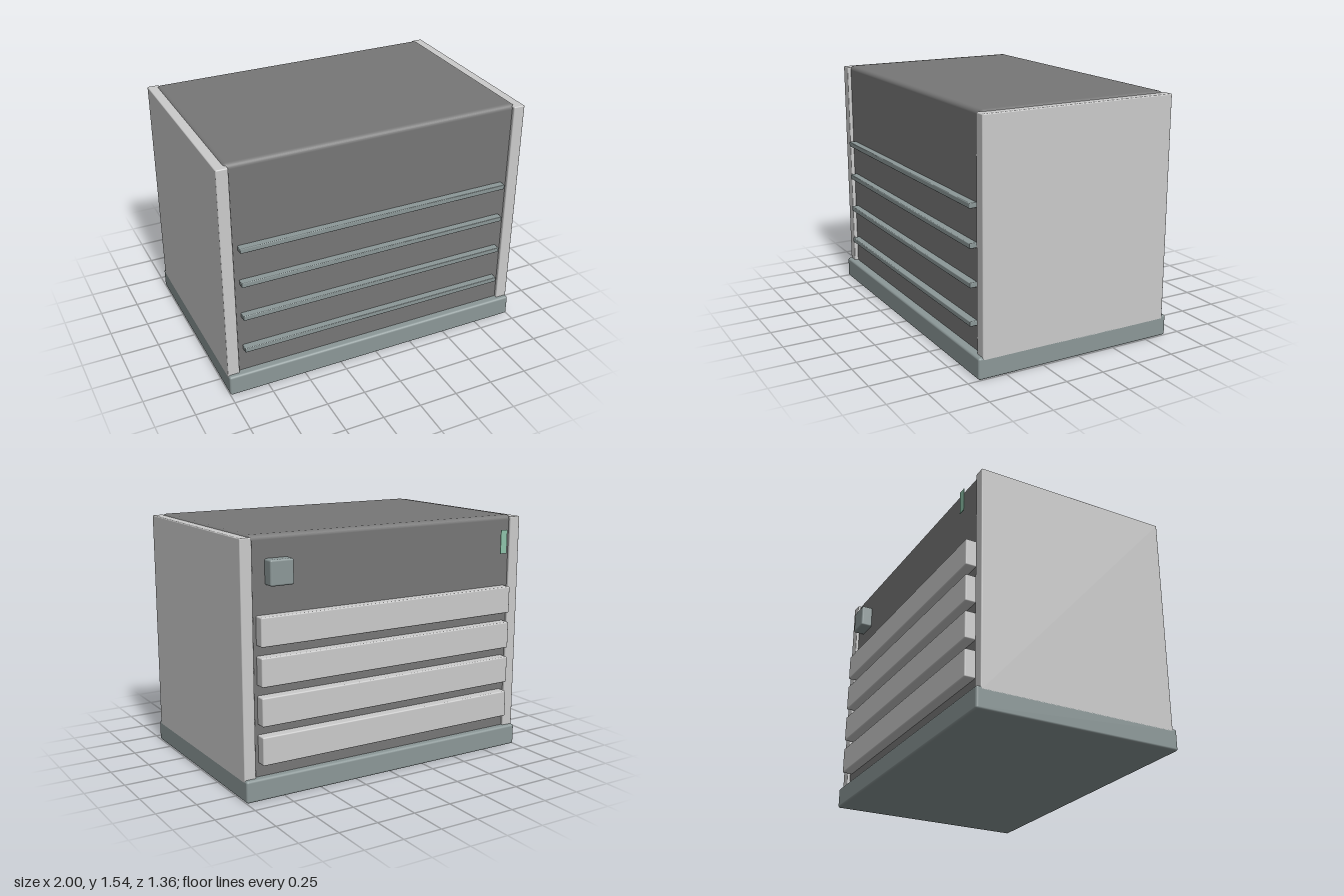
import * as THREE from 'three';
import { RoundedBoxGeometry } from 'three/addons/geometries/RoundedBoxGeometry.js';

const paint = (color) => new THREE.MeshStandardMaterial({ color });

// Rounded box given by its [min, max] range on each axis
function block(name, [x0, x1], [y0, y1], [z0, z1], radius, material) {
  const geometry = new RoundedBoxGeometry(x1 - x0, y1 - y0, z1 - z0, 3, radius);
  const mesh = new THREE.Mesh(geometry, material);
  mesh.position.set((x0 + x1) / 2, (y0 + y1) / 2, (z0 + z1) / 2);
  mesh.name = name;
  return mesh;
}

export function createModel() {
  const model = new THREE.Group();
  model.name = 'cabinet';
  const light = paint(0xcccccc);
  const dark = paint(0x777777);
  const trim = paint(0x8c9898);
  const green = paint(0x8fc4ab);

  // Plinth and main casing
  model.add(block('base', [-1, 1], [0, 0.135], [-0.65, 0.68], 0.014, trim));
  model.add(block('body', [-0.95, 0.95], [0.06, 1.545], [-0.605, 0.63], 0.03, dark));

  // Side panels, standing slightly proud of the casing front and back
  for (const side of [-1, 1]) {
    const xs = side > 0 ? [0.925, 1] : [-1, -0.925];
    model.add(block(side > 0 ? 'leftPanel' : 'rightPanel', xs, [0.11, 1.535], [-0.622, 0.652], 0.007, light));
  }

  // Four front rails and four back drawer fronts at the same spacing
  for (let i = 0; i < 4; i++) {
    const y = 0.304 + i * 0.2335;
    model.add(block('frontRail' + (i + 1), [-0.89, 0.89], [y - 0.016, y + 0.016], [0.615, 0.675], 0.005, trim));
    model.add(block('backDrawer' + (i + 1), [-0.9, 0.9], [y - 0.086, y + 0.086], [-0.67, -0.595], 0.008, light));
  }

  // Back control box and thin indicator strip
  model.add(block('controlBox', [0.69, 0.84], [1.26, 1.41], [-0.677, -0.595], 0.012, trim));
  const indicator = new THREE.Mesh(new THREE.BoxGeometry(0.05, 0.15, 0.004), green);
  indicator.position.set(-0.835, 1.385, -0.667);
  indicator.name = 'indicator';
  model.add(indicator);

  return model;
}
